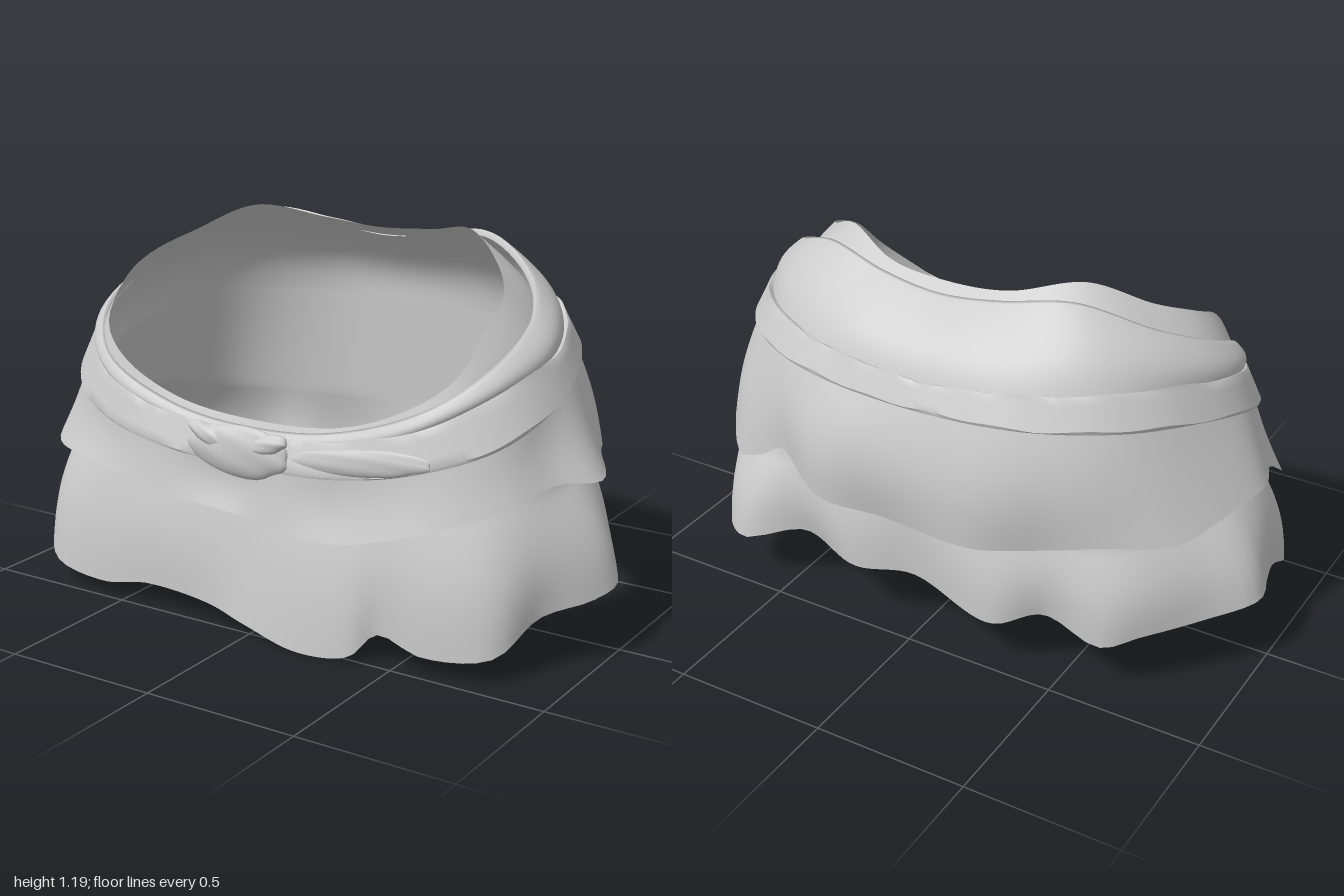
import * as THREE from 'three';
import { toCreasedNormals } from 'three/addons/utils/BufferGeometryUtils.js';

const N = 160, ZC = 0.1;
const material = new THREE.MeshStandardMaterial({ color: 0xcccccc, side: THREE.DoubleSide });

// Half outline (front centre to back centre) mirrored into a full one
const mirror = (half) => [...half, ...half.slice(1, -1).reverse().map(([x, y, z]) => [-x, y, z])];

// Closed smooth curve resampled at even angles around the body axis
function ring(points) {
  const curve = new THREE.CatmullRomCurve3(points.map((p) => new THREE.Vector3(...p)), true);
  const dense = curve.getPoints(1600);
  const angle = dense.map((p) => Math.atan2(p.x, p.z - ZC));
  const out = [];
  for (let i = 0; i < N; i++) {
    const a = (i / N) * Math.PI * 2;
    let best = 0, bestD = 10;
    angle.forEach((b, k) => {
      const d = Math.abs(Math.atan2(Math.sin(a - b), Math.cos(a - b)));
      if (d < bestD) { bestD = d; best = k; }
    });
    out.push(dense[best].clone());
  }
  return out;
}

// Move a ring outwards and upwards
const offset = (r, out, up = 0) => r.map((p) => {
  const d = new THREE.Vector3(p.x, 0, p.z - ZC).normalize();
  return p.clone().addScaledVector(d, out).add(new THREE.Vector3(0, up, 0));
});

// Rings between two rings, swelling outwards by bulge(s, angle)
function blend(a, b, steps, bulge) {
  return Array.from({ length: steps + 1 }, (_, k) => {
    const s = k / steps;
    return a.map((p, i) => {
      const q = p.clone().lerp(b[i], s);
      const d = new THREE.Vector3(q.x, 0, q.z - ZC).normalize();
      return q.addScaledVector(d, bulge(s, (i / N) * Math.PI * 2));
    });
  });
}

// Surface through stacked rings, top to bottom
function loft(name, rings, crease = 0) {
  const pos = [], index = [];
  rings.forEach((r) => r.forEach((p) => pos.push(p.x, p.y, p.z)));
  for (let j = 0; j < rings.length - 1; j++) {
    for (let i = 0; i < N; i++) {
      const a = j * N + i, b = j * N + ((i + 1) % N);
      index.push(a, a + N, b + N, a, b + N, b);
    }
  }
  let geo = new THREE.BufferGeometry();
  geo.setAttribute('position', new THREE.Float32BufferAttribute(pos, 3));
  geo.setIndex(index);
  geo.computeVertexNormals();
  if (crease) geo = toCreasedNormals(geo, crease);
  const mesh = new THREE.Mesh(geo, material);
  mesh.name = name;
  return mesh;
}

// Pinched, lumpy cloth bundle
function bundle(name, x, y, z, sx, sy, sz, tilt) {
  const geo = new THREE.SphereGeometry(1, 28, 18);
  const p = geo.attributes.position;
  for (let i = 0; i < p.count; i++) {
    const u = p.getX(i), v = p.getY(i), w = p.getZ(i);
    const k = 1 + 0.06 * Math.sin(5 * u + 3 * v) * Math.cos(4 * v - 2 * w);
    p.setXYZ(i, u * sx * k, v * sy * k, w * sz * k);
  }
  geo.computeVertexNormals();
  const mesh = new THREE.Mesh(geo, material);
  mesh.name = name;
  mesh.position.set(x, y, z);
  mesh.rotation.z = tilt;
  return mesh;
}

export function createModel() {
  const group = new THREE.Group();
  group.name = 'layeredSkirt';

  const rim = ring(mirror([
    [0, 0.67, 0.43], [0.3, 0.70, 0.435], [0.52, 0.79, 0.42], [0.63, 0.88, 0.36], [0.65, 1.0, 0.24],
    [0.64, 1.06, 0.12], [0.56, 1.12, -0.01], [0.4, 1.2, -0.13], [0.2, 1.165, -0.23], [0, 1.15, -0.24]]));
  const fold = ring(mirror([
    [0, 0.66, 0.485], [0.3, 0.69, 0.48], [0.58, 0.79, 0.43], [0.71, 0.9, 0.28], [0.72, 1.0, 0.07],
    [0.62, 1.09, -0.11], [0.42, 1.175, -0.23], [0.2, 1.15, -0.29], [0, 1.13, -0.3]]));
  const beltTop = ring(mirror([
    [0, 0.66, 0.5], [0.3, 0.67, 0.49], [0.55, 0.74, 0.45], [0.72, 0.83, 0.31], [0.79, 0.9, 0.1],
    [0.73, 0.95, -0.12], [0.58, 0.98, -0.33], [0.33, 0.97, -0.46], [0, 0.95, -0.49]]));
  const beltBottom = ring(mirror([
    [0, 0.56, 0.515], [0.3, 0.57, 0.51], [0.56, 0.62, 0.47], [0.75, 0.69, 0.34], [0.82, 0.78, 0.12],
    [0.77, 0.84, -0.11], [0.62, 0.875, -0.34], [0.36, 0.88, -0.48], [0, 0.87, -0.51]]));
  const upperHem = ring([
    [0, 0.4, 0.53], [0.3, 0.375, 0.54], [0.6, 0.45, 0.5], [0.8, 0.52, 0.36], [0.87, 0.56, 0.2],
    [0.95, 0.55, 0.06], [0.86, 0.575, -0.12], [0.77, 0.53, -0.32], [0.67, 0.46, -0.44], [0.56, 0.5, -0.47],
    [0.45, 0.57, -0.5], [0.27, 0.5, -0.58], [0.05, 0.48, -0.55], [-0.25, 0.47, -0.55], [-0.45, 0.49, -0.48],
    [-0.62, 0.52, -0.42], [-0.8, 0.52, -0.3], [-0.9, 0.57, -0.1], [-0.93, 0.58, 0.05], [-0.88, 0.55, 0.2],
    [-0.87, 0.46, 0.34], [-0.62, 0.46, 0.49], [-0.3, 0.42, 0.53]]);
  const lowerTop = ring(mirror([
    [0, 0.46, 0.465], [0.35, 0.46, 0.46], [0.65, 0.48, 0.42], [0.8, 0.52, 0.28], [0.84, 0.53, 0.08],
    [0.79, 0.54, -0.14], [0.66, 0.5, -0.37], [0.35, 0.5, -0.47], [0, 0.5, -0.48]]));
  const lowerHem = ring([
    [0, 0.05, 0.53], [0.2, 0.01, 0.54], [0.37, 0.03, 0.52], [0.44, 0.1, 0.48], [0.6, 0.07, 0.49],
    [0.8, 0.09, 0.43], [0.87, 0.18, 0.28], [0.97, 0.21, 0.15], [1, 0.23, 0.04], [0.9, 0.24, -0.13],
    [0.78, 0.24, -0.31], [0.72, 0.19, -0.45], [0.62, 0.19, -0.51], [0.42, 0.25, -0.45], [0.2, 0.22, -0.5],
    [0, 0.24, -0.47], [-0.3, 0.19, -0.51], [-0.45, 0.24, -0.45], [-0.64, 0.19, -0.45], [-0.74, 0.22, -0.38],
    [-0.87, 0.24, -0.24], [-0.99, 0.26, -0.08], [-0.96, 0.25, 0.05], [-0.92, 0.2, 0.2], [-0.91, 0.14, 0.33],
    [-0.8, 0.08, 0.46], [-0.57, 0.06, 0.5], [-0.4, 0.09, 0.5], [-0.15, 0.08, 0.51]]);

  // Inner lining from the rim down behind the belt, fuller at the back
  const back = (a) => (1 - Math.cos(a)) / 2;
  const waist = offset(beltBottom, -0.055, -0.01);
  group.add(loft('lining', blend(rim, waist, 14, (s, a) => (0.005 + 0.06 * back(a)) * Math.sin(Math.PI * s))));

  // Wrapped fold with a thin rolled edge over the lining
  group.add(loft('waistWrap', [
    offset(fold, -0.016, -0.015), offset(fold, -0.01, 0.004),
    ...blend(fold, offset(beltTop, -0.005, -0.02), 12, (s, a) => (0.01 + 0.025 * back(a)) * Math.sin(Math.PI * s))]));

  // Belt: a thin band with a slightly wavy lower edge
  const wobble = (r, k) => r.map((p, i) => p.clone().add(
    new THREE.Vector3(0, 0.006 * Math.sin(i * 0.55 + k) * Math.sin(i * 0.21), 0)));
  group.add(loft('belt', [
    offset(beltTop, -0.015, -0.01), wobble(offset(beltTop, 0.004), 0),
    ...blend(offset(beltTop, 0.008, -0.006), wobble(offset(beltBottom, 0.018, 0.006), 2), 4, () => 0),
    offset(beltBottom, 0.014, -0.004), offset(beltBottom, -0.015, 0.008)], 0.7));

  // Upper flared tier, billowing at the back
  const billow = (s, a) => Math.sin(Math.PI * s) * (0.05 * back(a) ** 3 - 0.01 + 0.006 * Math.sin(7 * a));
  group.add(loft('upperTier', blend(offset(beltBottom, -0.005, 0.02), upperHem, 16, billow)));

  // Lower tier: straight underlayer, then puffed skirt
  const puff = (s, a) => Math.sin(Math.PI * s) * (0.004 + 0.026 * Math.abs(Math.sin(a)));
  group.add(loft('lowerTier', [
    ...blend(waist, lowerTop, 10, () => 0), ...blend(lowerTop, lowerHem, 16, puff).slice(1)]));

  // Front knot with side folds and a short tail
  group.add(bundle('knot', 0, 0.605, 0.54, 0.18, 0.08, 0.03, 0));
  for (const s of [-1, 1]) {
    group.add(bundle('knotFold', s * 0.1, 0.64, 0.545, 0.08, 0.03, 0.025, s * 0.3));
  }
  group.add(bundle('beltTail', 0.4, 0.63, 0.515, 0.25, 0.04, 0.015, 0.14));
  return group;
}
